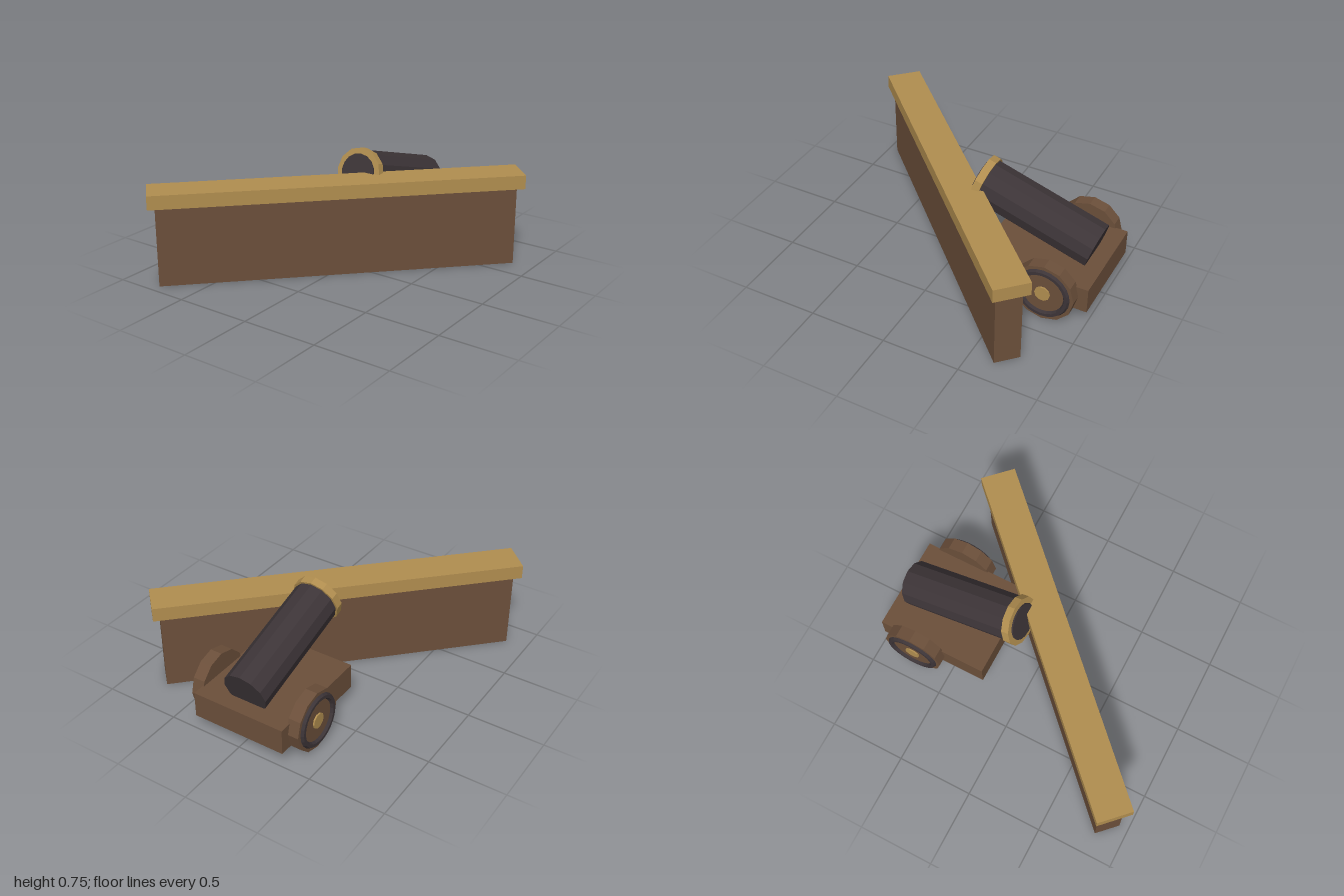
import * as THREE from 'three';

const flat = (name, color) => {
  const m = new THREE.MeshStandardMaterial({ color, flatShading: true });
  m.name = name;
  return m;
};

export function createModel() {
  const wood = flat('dark wood', 0x6b4f3a);
  const brass = flat('brass', 0xb08d4f);
  const iron = flat('dark iron', 0x3c3437);

  const model = new THREE.Group();
  model.name = 'cannonBehindBulwark';

  const add = (parent, name, geometry, material, x = 0, y = 0, z = 0) => {
    const mesh = new THREE.Mesh(geometry, material);
    mesh.name = name;
    mesh.position.set(x, y, z);
    parent.add(mesh);
    return mesh;
  };

  // Diagonal bulwark: plank wall with a capping rail
  const bulwark = new THREE.Group();
  bulwark.name = 'bulwark';
  bulwark.position.set(0, 0, 0.083);
  bulwark.rotation.y = Math.PI / 4;
  add(bulwark, 'wall', new THREE.BoxGeometry(2.26, 0.52, 0.163), wood, 0, 0.26);
  add(bulwark, 'capRail', new THREE.BoxGeometry(2.35, 0.09, 0.227), brass, 0, 0.56);
  model.add(bulwark);

  // Carriage bed
  add(model, 'carriage', new THREE.BoxGeometry(0.63, 0.17, 0.735), wood, 0, 0.185, -0.6325);

  // Wheels with iron tyre rings and brass hubs, local +y pointing outward
  for (const side of [1, -1]) {
    const wheel = new THREE.Group();
    wheel.name = side > 0 ? 'leftWheel' : 'rightWheel';
    wheel.position.set(side * 0.345, 0.2, -0.74);
    wheel.rotation.z = -side * Math.PI / 2;
    add(wheel, 'wheelDisc', new THREE.CylinderGeometry(0.2, 0.2, 0.08, 12), wood);
    const ring = add(wheel, 'wheelRing', new THREE.TorusGeometry(0.155, 0.02, 6, 24), iron, 0, 0.04);
    ring.rotation.x = Math.PI / 2;
    add(wheel, 'wheelHub', new THREE.CylinderGeometry(0.05, 0.05, 0.02, 10), brass, 0, 0.04);
    model.add(wheel);
  }

  // Barrel raised 0.3 rad, local +y pointing toward the muzzle
  const gun = new THREE.Group();
  gun.name = 'gun';
  gun.position.set(0, 0.47, -0.535);
  gun.rotation.x = Math.PI / 2 - 0.3;
  add(gun, 'barrel', new THREE.CylinderGeometry(0.147, 0.147, 0.8, 12), iron);
  add(gun, 'muzzleRing', new THREE.CylinderGeometry(0.16, 0.16, 0.05, 12), brass, 0, 0.395);
  add(gun, 'bore', new THREE.CylinderGeometry(0.12, 0.12, 0.04, 16), iron, 0, 0.41);
  model.add(gun);

  return model;
}
